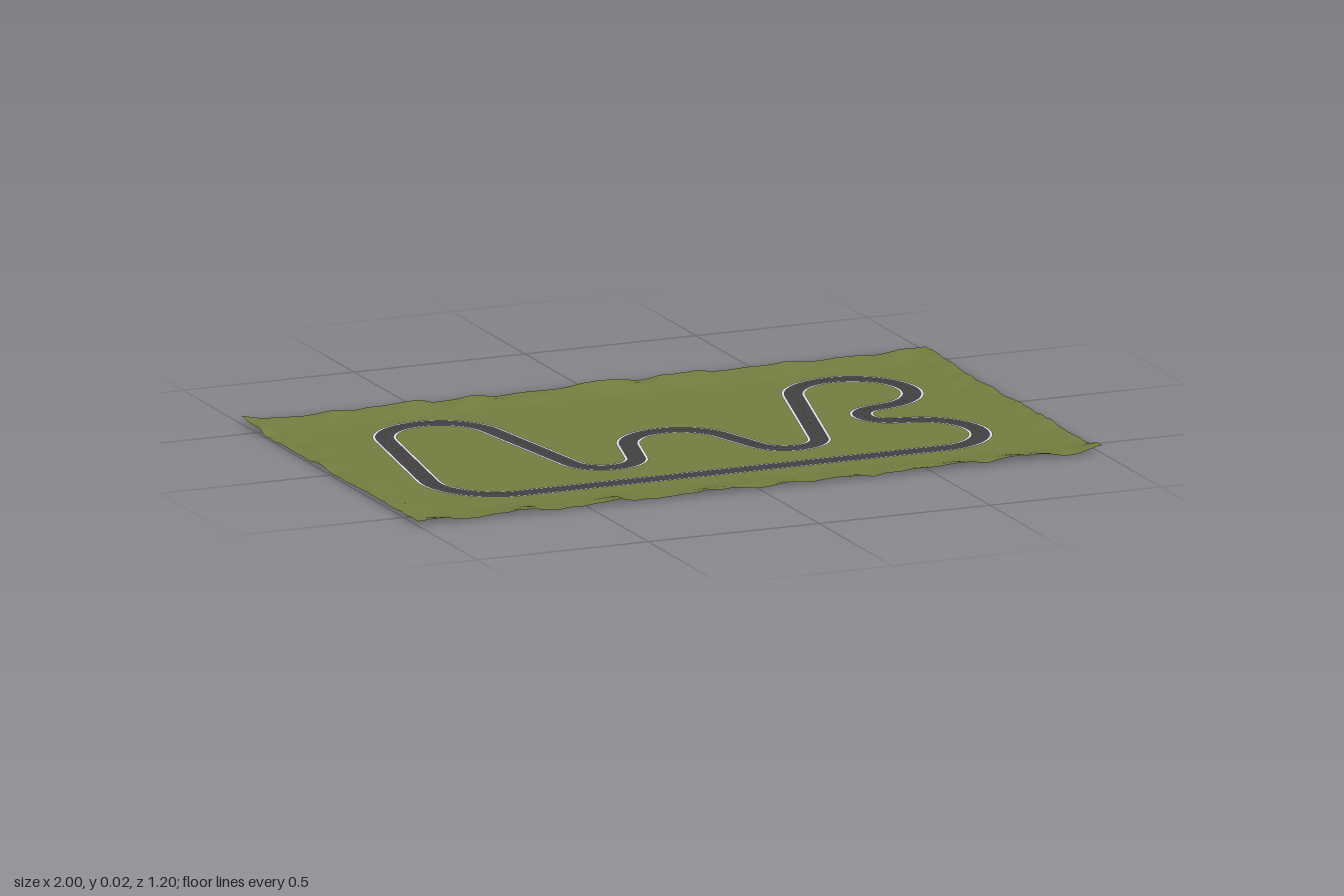
import * as THREE from 'three';

// Circuit corners: centre x, centre z, radius, turn direction (+1 left, -1 right)
const CORNERS = [
  [-0.605, 0.205, 0.185, 1],
  [0.63, 0.23, 0.16, 1],
  [0.64, -0.01, 0.075, -1],
  [0.635, -0.248, 0.16, 1],
  [0.27, 0.135, 0.095, -1],
  [0, 0.06, 0.142, 1],
  [-0.265, 0.135, 0.095, -1],
  [-0.567, -0.253, 0.152, 1],
];

// Heading of the straight that is tangent to two corners
function tangentHeading(a, b) {
  const dx = b[0] - a[0], dy = a[1] - b[1];
  const offset = (b[2] * b[3] - a[2] * a[3]) / Math.hypot(dx, dy);
  return Math.atan2(dy, dx) - Math.asin(THREE.MathUtils.clamp(offset, -1, 1));
}

// Centre line as evenly spaced points with a heading each
function centreLine(count) {
  const n = CORNERS.length, raw = [];
  CORNERS.forEach((c, i) => {
    const [x, z, r, s] = c;
    const start = tangentHeading(CORNERS[(i + n - 1) % n], c);
    const end = tangentHeading(c, CORNERS[(i + 1) % n]);
    const turn = (((end - start) * s) % (2 * Math.PI) + 2 * Math.PI) % (2 * Math.PI);
    for (let k = 0; k <= 40; k++) {
      const h = start + (s * turn * k) / 40;
      raw.push({ x: x + r * s * Math.sin(h), z: z + r * s * Math.cos(h), h });
    }
  });
  raw.push(raw[0]);
  const lengths = [0];
  for (let i = 1; i < raw.length; i++) {
    lengths.push(lengths[i - 1] + Math.hypot(raw[i].x - raw[i - 1].x, raw[i].z - raw[i - 1].z));
  }
  const points = [];
  let j = 1;
  for (let k = 0; k < count; k++) {
    const d = (lengths[lengths.length - 1] * k) / count;
    while (lengths[j] < d) j++;
    const a = raw[j - 1], b = raw[j];
    const t = (d - lengths[j - 1]) / (lengths[j] - lengths[j - 1] || 1);
    const dh = Math.atan2(Math.sin(b.h - a.h), Math.cos(b.h - a.h));
    points.push({ x: a.x + (b.x - a.x) * t, z: a.z + (b.z - a.z) * t, h: a.h + dh * t });
  }
  return points;
}

// Flat strip along the centre line between two sideways offsets
function strip(name, points, from, to, y, material, keep = () => true) {
  const position = [], index = [];
  points.forEach((p) => {
    for (const o of [from, to]) position.push(p.x - Math.sin(p.h) * o, y, p.z - Math.cos(p.h) * o);
  });
  points.forEach((p, i) => {
    if (!keep(p, i)) return;
    const a = 2 * i, b = 2 * ((i + 1) % points.length);
    index.push(a, b, b + 1, a, b + 1, a + 1);
  });
  const geometry = new THREE.BufferGeometry();
  geometry.setAttribute('position', new THREE.Float32BufferAttribute(position, 3));
  geometry.setIndex(index);
  geometry.computeVertexNormals();
  const mesh = new THREE.Mesh(geometry, material);
  mesh.name = name;
  return mesh;
}

// Smooth seeded value noise, 0 to 1
function hash(i, j) {
  const s = Math.sin(i * 127.1 + j * 311.7 + 4.2) * 43758.5453;
  return s - Math.floor(s);
}
function noise(x, z) {
  const i = Math.floor(x), j = Math.floor(z);
  const u = THREE.MathUtils.smoothstep(x - i, 0, 1), v = THREE.MathUtils.smoothstep(z - j, 0, 1);
  const lerp = THREE.MathUtils.lerp;
  return lerp(lerp(hash(i, j), hash(i + 1, j), u), lerp(hash(i, j + 1), hash(i + 1, j + 1), u), v);
}

// Flat field whose rim rises into low bumps
function makeGround(material) {
  const geometry = new THREE.PlaneGeometry(2, 1.2, 120, 72).rotateX(-Math.PI / 2);
  const pos = geometry.attributes.position;
  for (let i = 0; i < pos.count; i++) {
    const x = pos.getX(i), z = pos.getZ(i);
    const rimX = THREE.MathUtils.smoothstep(Math.abs(x), 0.86, 1.02);
    const rimZ = THREE.MathUtils.smoothstep(Math.abs(z), 0.47, 0.62);
    const bumps = 0.7 * noise(x * 12, z * 12) + 0.3 * noise(x * 27 + 9, z * 27);
    pos.setY(i, Math.max(rimX, rimZ) * 0.021 * bumps + rimX * rimZ * 0.009);
  }
  geometry.computeVertexNormals();
  const mesh = new THREE.Mesh(geometry, material);
  mesh.name = 'grassGround';
  return mesh;
}

export function createModel() {
  const paint = (name, color, side = THREE.FrontSide) => {
    const m = new THREE.MeshStandardMaterial({ color, side });
    m.name = name;
    return m;
  };
  const grass = paint('grass', 0x747d40, THREE.DoubleSide);
  const asphalt = paint('asphalt', 0x414145);
  const white = paint('white line', 0xdedede);
  const orange = paint('orange line', 0xe0921c);

  const model = new THREE.Group();
  model.name = 'raceTrack';
  model.add(makeGround(grass));

  // Road surface, edge lines and dashed centre line
  const points = centreLine(640);
  const onMainStraight = (p) => p.z > 0.387;
  const dash = (i) => i % 2 === 0;
  model.add(
    strip('roadSurface', points, -0.025, 0.025, 0.0025, asphalt),
    strip('leftEdgeLine', points, 0.025, 0.032, 0.0025, white),
    strip('rightEdgeLine', points, -0.032, -0.025, 0.0025, white),
    strip('cornerCentreDashes', points, -0.002, 0.002, 0.004, orange, (p, i) => dash(i) && !onMainStraight(p)),
    strip('straightCentreDashes', points, -0.002, 0.002, 0.004, white, (p, i) => dash(i) && onMainStraight(p)),
  );
  return model;
}
